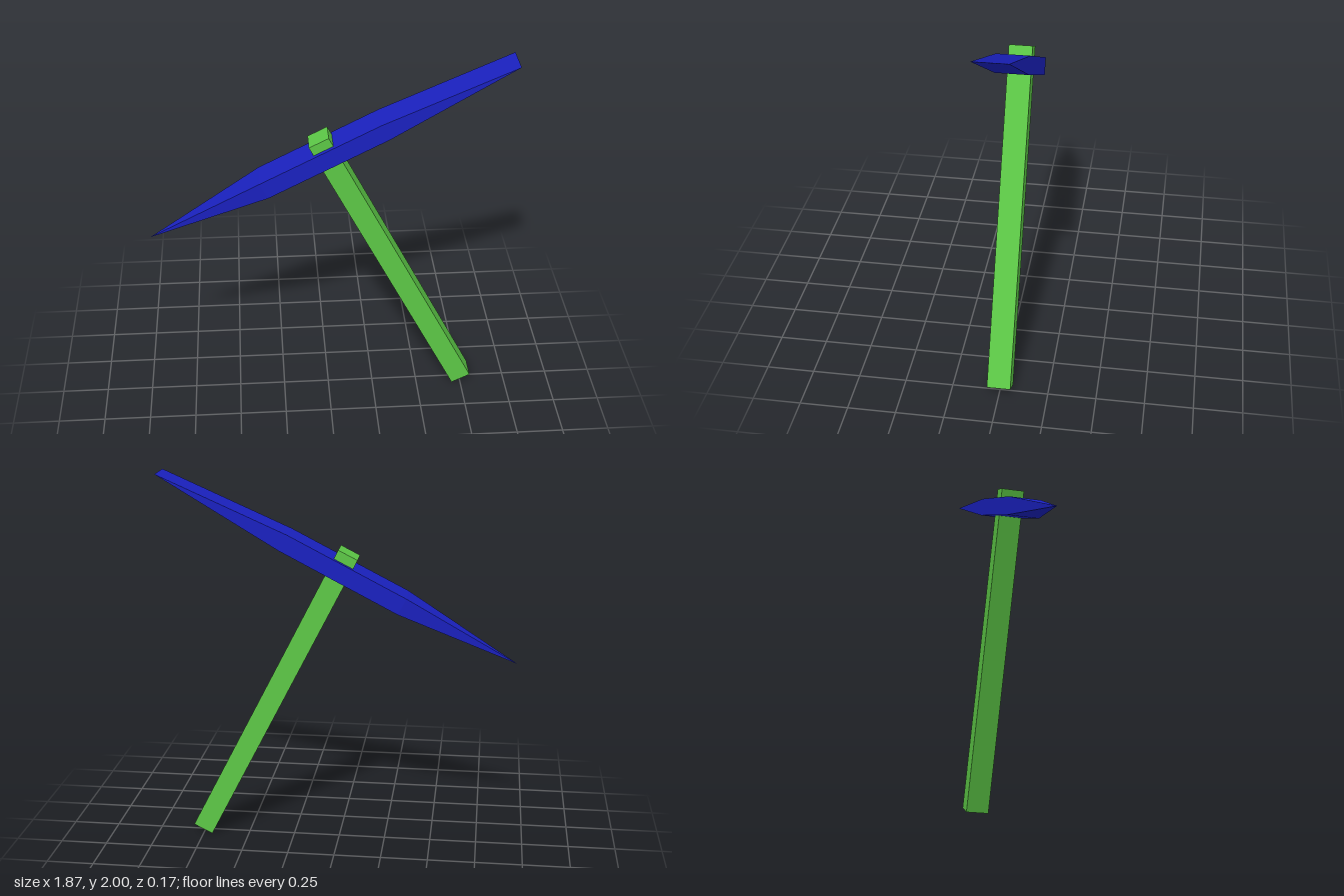
import * as THREE from 'three';

// Rectangular cross-sections [position along length, half height, half depth] joined by flat faces
function loft(sections) {
  const rings = sections.map(([x, h, d]) =>
    [[-h, -d], [-h, d], [h, d], [h, -d]].map(([y, z]) => new THREE.Vector3(x, y, z)));
  const points = [];
  const addTriangle = (a, b, c) => {
    // Skip faces that collapse at the point and the chisel edge
    if (new THREE.Triangle(a, b, c).getArea() > 1e-7) points.push(a, b, c);
  };
  for (let i = 0; i < rings.length - 1; i++) {
    for (let k = 0; k < 4; k++) {
      const n = (k + 1) % 4;
      const [a, b, c, d] = [rings[i][k], rings[i + 1][k], rings[i + 1][n], rings[i][n]];
      addTriangle(a, b, c);
      addTriangle(a, c, d);
    }
  }
  const geometry = new THREE.BufferGeometry().setFromPoints(points);
  geometry.computeVertexNormals();
  return geometry;
}

export function createModel() {
  const model = new THREE.Group();
  model.name = 'pickaxe';

  // Square wooden shaft, leaning
  const handle = new THREE.Mesh(
    new THREE.BoxGeometry(0.112, 1.767, 0.122),
    new THREE.MeshStandardMaterial({ color: 0x5cc746, flatShading: true }));
  handle.name = 'handle';
  handle.position.set(0.35, 0.813, 0);
  handle.rotation.z = 0.472;
  model.add(handle);

  // Head: a sharp point on one end, a wide chisel edge on the other
  const head = new THREE.Mesh(
    loft([
      [-1.055, 0, 0],
      [-0.376, 0.048, 0.085],
      [0.316, 0.047, 0.085],
      [1.055, 0, 0.085],
    ]),
    new THREE.MeshStandardMaterial({ color: 0x1a21bf, flatShading: true }));
  head.name = 'head';
  head.position.set(0, 1.515, 0);
  head.rotation.z = 0.478;
  model.add(head);

  return model;
}
